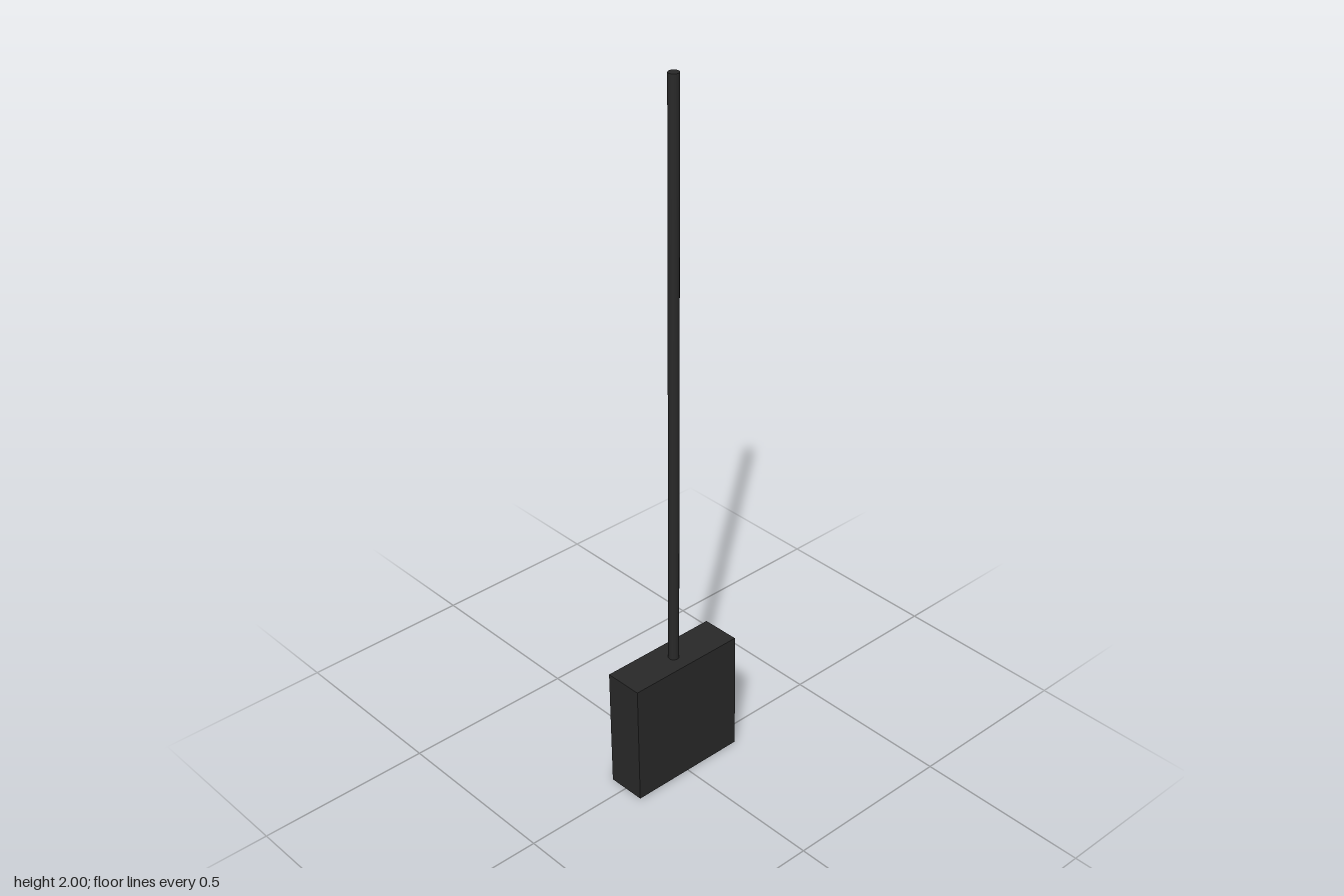
import * as THREE from 'three';

export function createModel() {
  const group = new THREE.Group();
  const charcoal = new THREE.MeshStandardMaterial({ color: 0x292929 });
  charcoal.name = 'charcoal';

  // Square block, leaning very slightly backwards
  const block = new THREE.Mesh(new THREE.BoxGeometry(0.355, 0.354, 0.112), charcoal);
  block.name = 'block';
  block.position.y = 0.178;
  block.rotation.x = -0.02;
  group.add(block);

  // Thin upright rod, seated in the top of the block
  const bottom = 0.3, top = 2;
  const rodGeometry = new THREE.CylinderGeometry(0.015, 0.015, top - bottom, 12);
  const rod = new THREE.Mesh(rodGeometry, charcoal);
  rod.name = 'rod';
  rod.position.y = (top + bottom) / 2;
  group.add(rod);

  return group;
}
